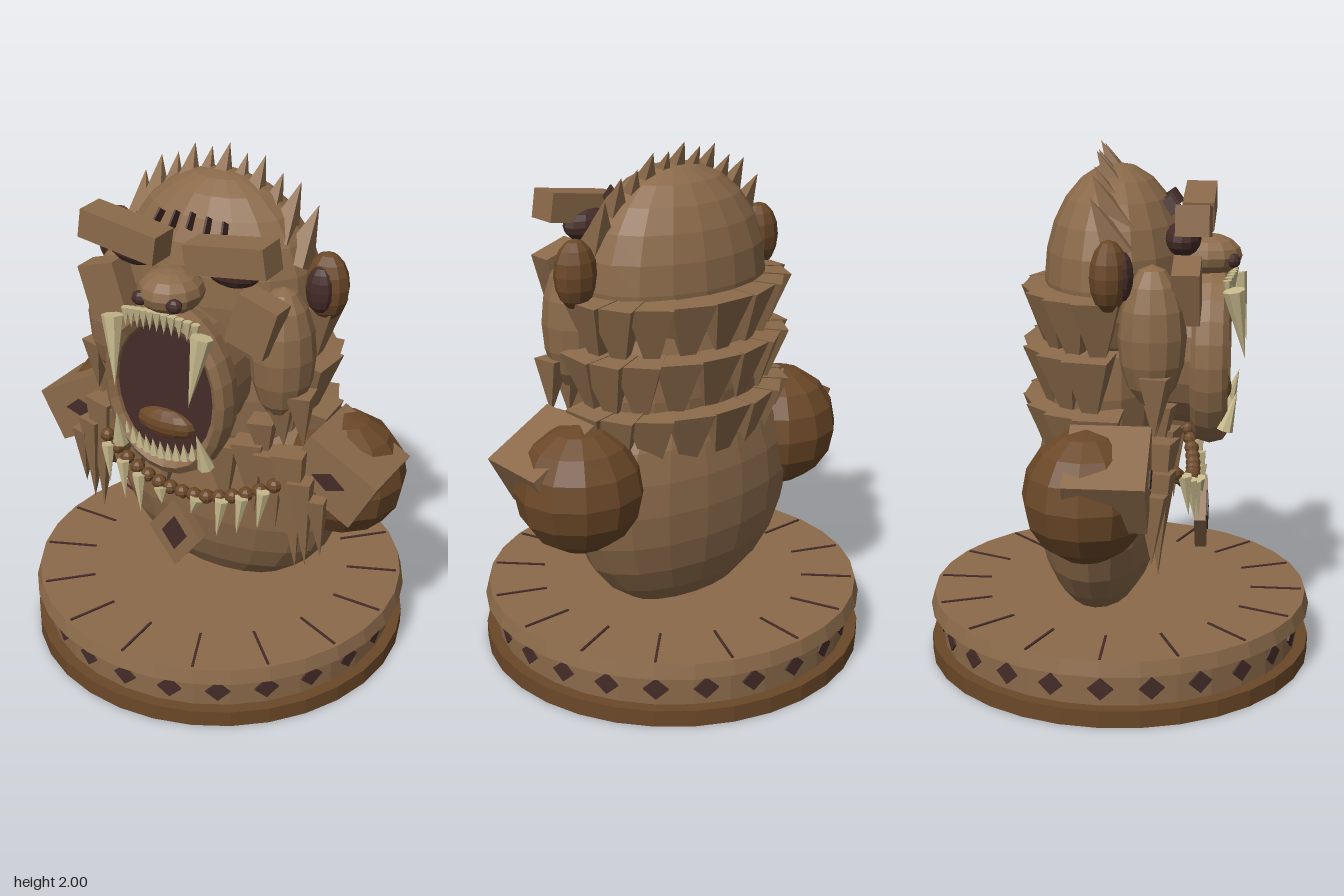
import * as THREE from 'three';

const mat = (name, color, side = THREE.FrontSide) => {
  const m = new THREE.MeshStandardMaterial({ color, flatShading: true, side });
  m.name = name;
  return m;
};

export function createModel() {
  const root = new THREE.Group();
  root.name = 'beastBust';
  const fur = mat('fur brown', 0x8b6a4a);
  const deep = mat('deep brown', 0x6b4828);
  const dark = mat('dark umber', 0x452c28, THREE.DoubleSide);
  const ivory = mat('ivory', 0xc9bb8e);

  const add = (name, geo, m, pos = [0, 0, 0], rot = [0, 0, 0], scale = [1, 1, 1]) => {
    const mesh = new THREE.Mesh(geo, m);
    mesh.name = name;
    mesh.position.set(...pos);
    mesh.rotation.set(rot[0], rot[1], rot[2], 'YXZ');
    mesh.scale.set(...scale);
    root.add(mesh);
    return mesh;
  };
  const ball = (name, m, pos, scale, w = 12, h = 8) =>
    add(name, new THREE.SphereGeometry(1, w, h), m, pos, [0, 0, 0], scale);
  const box = (name, m, pos, size, rot) => add(name, new THREE.BoxGeometry(...size), m, pos, rot);
  const disk = (name, m, rTop, rBottom, y0, y1) =>
    add(name, new THREE.CylinderGeometry(rTop, rBottom, y1 - y0, 32), m, [0, (y0 + y1) / 2, 0]);

  // Four-sided diamond plate facing +z
  const diamondGeo = new THREE.CylinderGeometry(1, 1, 1, 4).rotateX(Math.PI / 2);
  const diamond = (name, m, pos, w, h, t, rot) => add(name, diamondGeo, m, pos, rot, [w, h, t]);

  // Cone running from a base point to a tip
  const spike = (name, m, from, to, r, sides = 6) => {
    const a = new THREE.Vector3(...from), b = new THREE.Vector3(...to);
    const dir = b.clone().sub(a), len = dir.length();
    const geo = new THREE.ConeGeometry(r, len, sides);
    if (sides === 4) geo.rotateY(Math.PI / 4);
    const mesh = add(name, geo, m, a.add(b).multiplyScalar(0.5).toArray());
    mesh.quaternion.setFromUnitVectors(new THREE.Vector3(0, 1, 0), dir.normalize());
  };

  // Fur lock: upside-down pyramid with its flat top at the origin
  const lockGeo = new THREE.ConeGeometry(Math.SQRT1_2, 1, 4).rotateY(Math.PI / 4).rotateX(Math.PI).translate(0, -0.5, 0);
  const lock = (name, pos, size, rot) => add(name, lockGeo, fur, pos, rot, size);

  // Round plinth with diamonds and radial grooves
  disk('plinthFoot', deep, 0.75, 0.75, 0, 0.065);
  disk('plinthBand', fur, 0.705, 0.705, 0.065, 0.195);
  disk('plinthTop', fur, 0.735, 0.75, 0.195, 0.25);
  for (let i = 0; i < 24; i++) {
    const a = (i / 24) * Math.PI * 2;
    diamond('bandDiamond', dark, [Math.sin(a) * 0.705, 0.13, Math.cos(a) * 0.705], 0.047, 0.043, 0.009, [0, a, 0]);
  }
  for (let i = 0; i < 16; i++) {
    const a = (i / 16) * Math.PI * 2;
    box('plinthGroove', dark, [Math.sin(a) * 0.62, 0.251, Math.cos(a) * 0.62], [0.009, 0.008, 0.2], [0, a, 0]);
  }

  // Torso, neck and skull
  ball('torso', fur, [0, 0.67, -0.07], [0.51, 0.49, 0.25], 18, 12);
  ball('neck', fur, [0, 1.1, -0.05], [0.38, 0.5, 0.24], 16, 10);
  ball('skull', fur, [0, 1.5, -0.01], [0.4, 0.42, 0.27], 18, 12);

  // Three tiers of fur around the back
  [1.48, 1.27, 1.06].forEach((y, tier) => {
    const n = 9;
    for (let i = 0; i < n; i++) {
      const a = (i / (n - 1) - 0.5) * 3.0 + (tier % 2 ? 0.12 : 0);
      lock('backFurLock', [Math.sin(a) * 0.41, y, -0.02 - Math.cos(a) * 0.27], [0.17, 0.32, 0.13], [0.13, Math.PI - a, 0]);
    }
  });

  // Crest of spikes leaning back
  for (let i = -5; i <= 5; i++) {
    const x = i * 0.073, top = 2.0 - x * x * 1.1 - (i % 2 ? 0.02 : 0);
    spike('crestSpike', fur, [x * 0.9, top - 0.2, 0.03], [x, top, -0.07], 0.075, 4);
  }
  for (let i = -2; i <= 2; i++)
    box('foreheadWrinkle', dark, [i * 0.068, 1.79 - Math.abs(i) * 0.005, 0.2], [0.008, 0.06, 0.04], [-0.6, 0, i * 0.1]);

  // Open mouth: muzzle, lip ring, cavity and tongue
  add('muzzle', new THREE.CylinderGeometry(0.235, 0.22, 0.2, 20).rotateX(Math.PI / 2), fur,
    [0, 1.22, 0.24], [0, 0, 0], [1, 1.25, 1]);
  add('lipRing', new THREE.TorusGeometry(0.235, 0.035, 8, 24), fur, [0, 1.2, 0.35], [0, 0, 0], [0.98, 1.28, 2]);
  add('mouthCavity', new THREE.CircleGeometry(0.235, 24), dark, [0, 1.21, 0.385], [0, 0, 0], [1, 1.25, 1]);
  ball('tongue', deep, [0, 1.07, 0.38], [0.125, 0.06, 0.05]);
  ball('nose', fur, [0, 1.58, 0.335], [0.12, 0.08, 0.125]);

  // Teeth rows
  for (let i = -5; i <= 5; i++) {
    const x = i * 0.029, c = x * x;
    spike('upperTooth', ivory, [x, 1.53 - c, 0.43 - c], [x, 1.455 - c, 0.435 - c], 0.018);
    spike('lowerTooth', ivory, [x * 1.1, 0.945 + c * 1.5, 0.42 - c], [x * 1.1, 1.015 + c * 1.5, 0.43 - c], 0.018);
  }

  // Necklace beads
  const sag = x => 0.72 + x * x * 0.85;
  const neckZ = x => 0.285 - x * x * 0.35;
  for (let i = -7; i <= 7; i++) {
    const x = i * 0.053;
    ball('necklaceBead', deep, [x, sag(x), neckZ(x)], [0.03, 0.028, 0.03], 8, 6);
  }

  // Chest pendant
  diamond('pendant', fur, [0, 0.565, 0.32], 0.115, 0.15, 0.045);
  diamond('pendantInlay', dark, [0, 0.565, 0.344], 0.055, 0.075, 0.008);

  // Mirrored parts
  for (const s of [-1, 1]) {
    // Shoulder and its armour pad
    ball('shoulder', deep, [s * 0.5, 0.785, -0.07], [0.25, 0.245, 0.235], 12, 8);
    box('shoulderPad', fur, [s * 0.56, 0.87, 0.015], [0.31, 0.22, 0.29], [0, 0, -s * 0.5]);
    diamond('padInlay', dark, [s * 0.555, 0.87, 0.162], 0.068, 0.038, 0.008, [0, 0, -s * 0.2]);

    // Face
    box('brow', fur, [s * 0.22, 1.735, 0.29], [0.32, 0.11, 0.12], [0, 0, s * 0.15]);
    ball('eye', dark, [s * 0.2, 1.67, 0.25], [0.11, 0.065, 0.065]);
    box('cheekbone', fur, [s * 0.31, 1.5, 0.27], [0.16, 0.2, 0.1], [0, 0, -s * 0.3]);
    ball('cheek', fur, [s * 0.35, 1.34, 0.15], [0.12, 0.26, 0.125]);
    ball('nostril', dark, [s * 0.07, 1.57, 0.43], [0.033, 0.027, 0.025], 8, 6);
    ball('ear', deep, [s * 0.445, 1.57, 0.005], [0.085, 0.13, 0.07], 10, 8);
    ball('innerEar', dark, [s * 0.44, 1.57, 0.05], [0.055, 0.09, 0.042], 10, 8);

    // Fangs
    spike('upperFang', ivory, [s * 0.185, 1.48, 0.435], [s * 0.155, 1.22, 0.48], 0.042, 7);
    spike('lowerFang', ivory, [s * 0.185, 0.95, 0.41], [s * 0.17, 1.1, 0.455], 0.032, 7);

    // Hanging fur on the cheeks and chest: x, top y, z, width, length
    for (const [x, y, z, w, h] of [
      [0.44, 1.21, 0.17, 0.09, 0.22], [0.36, 1.17, 0.17, 0.1, 0.2], [0.29, 1.07, 0.18, 0.1, 0.22],
      [0.46, 0.87, 0.19, 0.09, 0.38], [0.41, 0.97, 0.19, 0.12, 0.51], [0.33, 0.95, 0.19, 0.11, 0.35],
      [0.24, 0.97, 0.19, 0.12, 0.32], [0.12, 0.93, 0.19, 0.13, 0.3], [0.52, 0.8, 0.17, 0.07, 0.26],
    ]) lock('frontFurLock', [s * x, y, z], [w, h, 0.1], [0, s * 0.2, s * 0.06]);

    // Teeth hung on the necklace
    for (const x of [0.345, 0.265, 0.185, 0.08])
      spike('necklaceTooth', ivory, [s * x, sag(x), neckZ(x) + 0.03], [s * (x - 0.015), sag(x) - (x > 0.1 ? 0.16 : 0.06), neckZ(x) + 0.045], 0.028);
  }
  return root;
}
